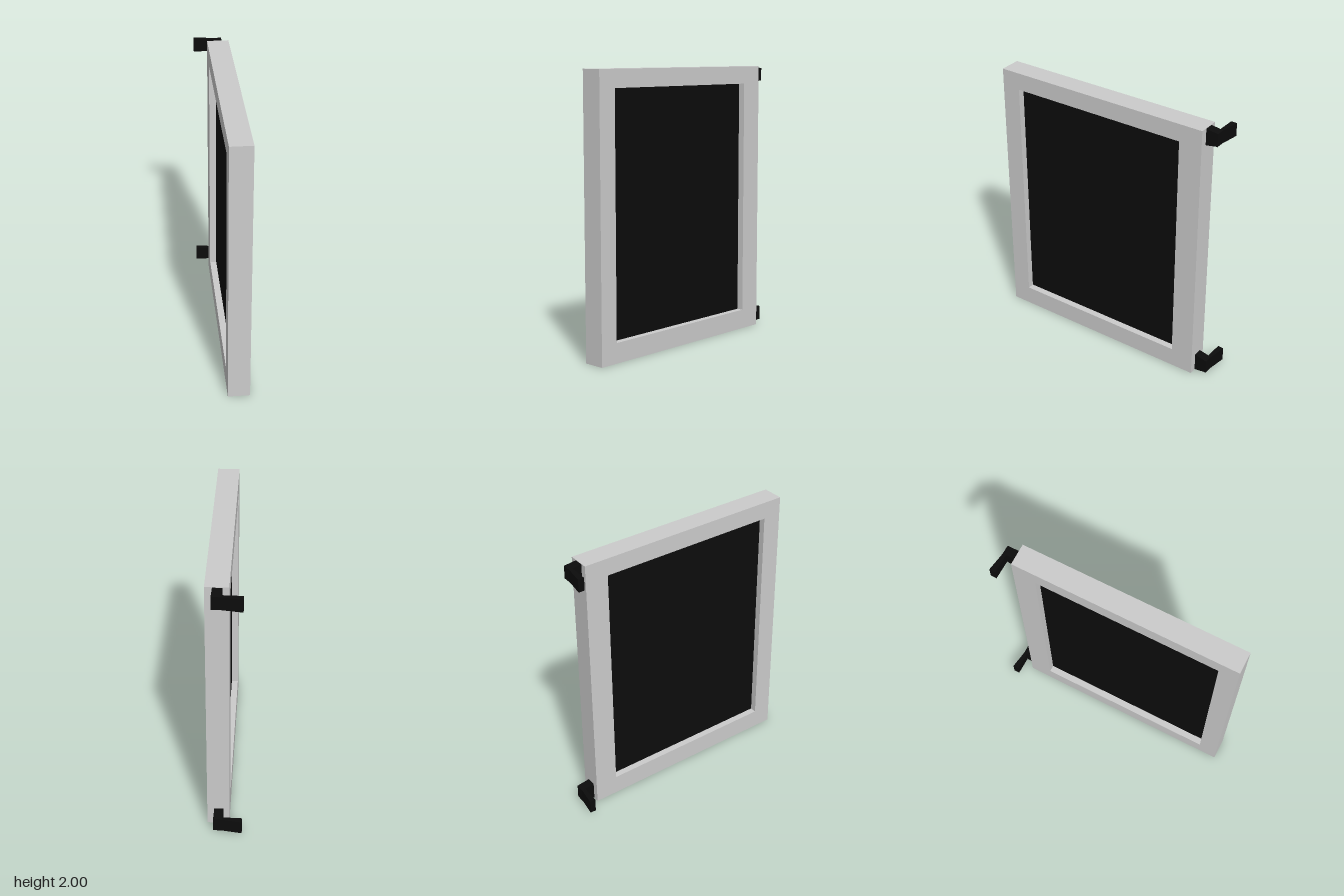
import * as THREE from 'three';

const grey = new THREE.MeshStandardMaterial({ color: 0xcccccc, flatShading: true });
const black = new THREE.MeshStandardMaterial({ color: 0x0c0c0c, flatShading: true });

function add(parent, name, geometry, material) {
  const mesh = new THREE.Mesh(geometry, material);
  mesh.name = name;
  parent.add(mesh);
  return mesh;
}

// Rectangle outline, usable as a shape or a hole
function rect(path, x0, x1, y0, y1) {
  path.moveTo(x0, y0);
  path.lineTo(x1, y0);
  path.lineTo(x1, y1);
  path.lineTo(x0, y1);
  path.closePath();
  return path;
}

// Plan outline of (x, z) points raised from y0 to y1
function planBlock(points, y0, y1) {
  const shape = new THREE.Shape(points.map(([x, z]) => new THREE.Vector2(x, -z)));
  const geo = new THREE.ExtrudeGeometry(shape, { depth: y1 - y0, bevelEnabled: false });
  geo.rotateX(-Math.PI / 2);
  geo.translate(0, y0, 0);
  return geo;
}

// Post that narrows in height from the frame (zNear) to the arm (zFar)
function taperedPost(near, far, zNear, zFar) {
  const geo = new THREE.BoxGeometry(0.065, 1, 1);
  const pos = geo.attributes.position;
  for (let i = 0; i < pos.count; i++) {
    const atFrame = pos.getZ(i) > 0;
    const [low, high] = atFrame ? near : far;
    pos.setXYZ(i, pos.getX(i) + 0.0075, pos.getY(i) > 0 ? high : low, atFrame ? zNear : zFar);
  }
  geo.computeVertexNormals();
  return geo;
}

export function createModel() {
  const model = new THREE.Group();
  model.name = 'window';

  // Sash, swung slightly open
  const sash = new THREE.Group();
  sash.name = 'sash';
  sash.position.set(0.046, 0, 0.0525);
  sash.rotation.y = 0.0424;
  model.add(sash);

  const thickness = 0.158, halfLength = 0.825;
  const opening = [-0.686, 0.654, 0.145, 1.873];
  const outline = rect(new THREE.Shape(), -halfLength, halfLength, 0, 2);
  outline.holes.push(rect(new THREE.Path(), ...opening));
  const frameGeo = new THREE.ExtrudeGeometry(outline, { depth: thickness, bevelEnabled: false });
  frameGeo.translate(0, 0, -thickness / 2);
  frameGeo.rotateY(Math.PI / 2);
  add(sash, 'frame', frameGeo, grey);

  // Dark pane recessed on both sides
  const [a, b, low, high] = opening;
  const pane = add(sash, 'pane', new THREE.BoxGeometry(0.06, high - low, b - a), black);
  pane.position.set(0, (low + high) / 2, -(a + b) / 2);

  // Hinge brackets on the back edge: a tapered post and a sideways arm
  const hinges = [
    { name: 'topHinge', near: [1.875, 1.998], far: [1.893, 1.985], back: -0.868 },
    { name: 'bottomHinge', near: [0.003, 0.14], far: [0.02, 0.122], back: -0.876 },
  ];
  for (const { name, near, far, back } of hinges) {
    const hinge = new THREE.Group();
    hinge.name = name;
    model.add(hinge);
    add(hinge, 'post', taperedPost(near, far, -0.765, back + 0.008), black);
    const arm = [
      [0.04, back + 0.035], [0.04, back + 0.006], [-0.025, back + 0.008],
      [-0.165, back - 0.008], [-0.165, back + 0.036], [-0.025, back + 0.033],
    ];
    add(hinge, 'arm', planBlock(arm, far[0] - 0.002, far[1]), black);
  }

  return model;
}
